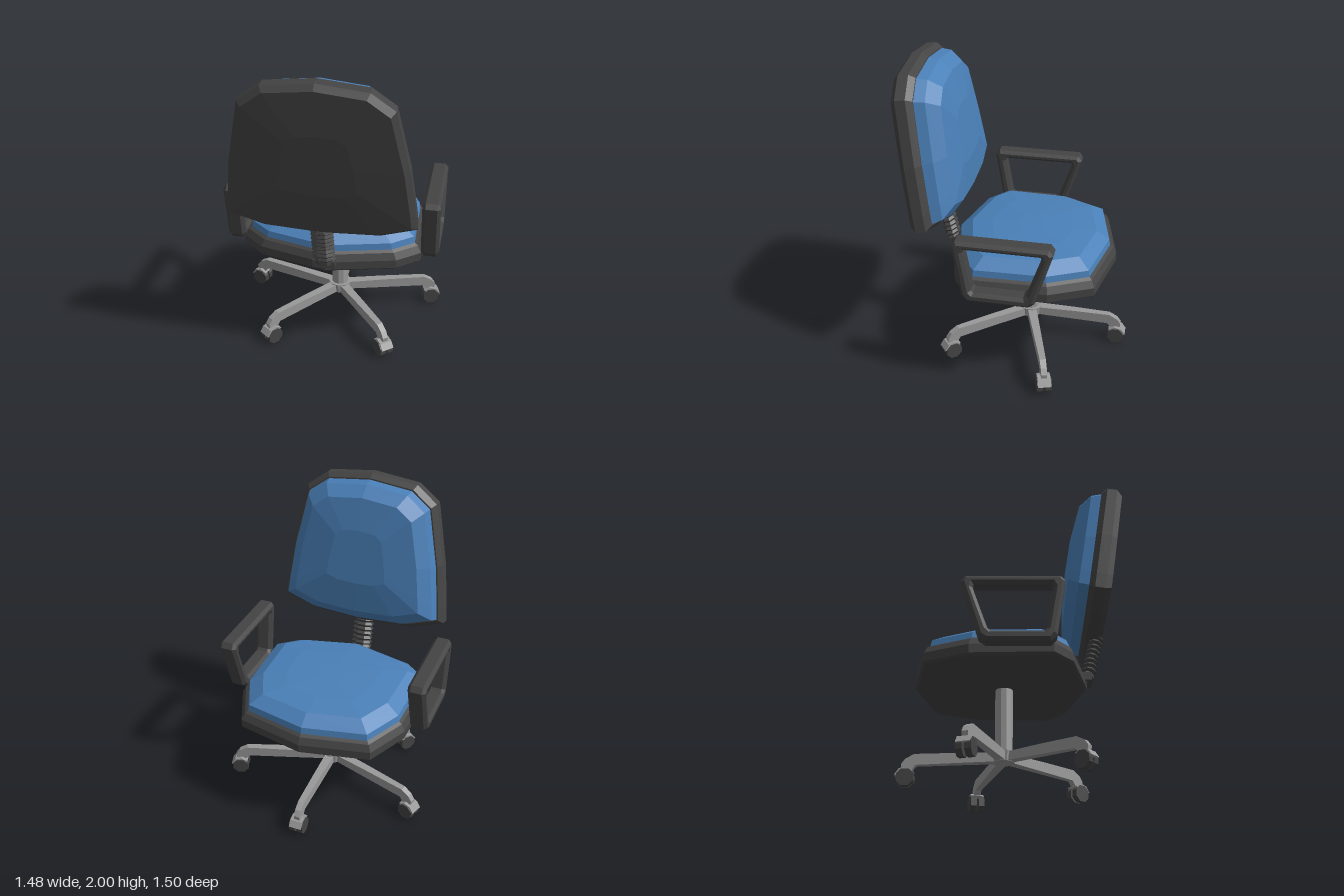
import * as THREE from 'three';

const mat = (color) => new THREE.MeshStandardMaterial({ color, flatShading: true });
const DARK = mat(0x444444), BLUE = mat(0x4a80b8), GREY = mat(0x999999);

function add(parent, name, geometry, material, x = 0, y = 0, z = 0) {
  const mesh = new THREE.Mesh(geometry, material);
  mesh.name = name;
  mesh.position.set(x, y, z);
  parent.add(mesh);
  return mesh;
}

// Closed solid through rings of equal point count, capped at both ends
function loft(rings) {
  const tris = [], n = rings[0].length;
  const mean = (r) => r.reduce((s, p) => s.add(p), new THREE.Vector3()).divideScalar(n);
  const first = rings[0], last = rings[rings.length - 1];
  const a0 = mean(first), b0 = mean(last);
  for (let j = 0; j < n; j++) {
    const k = (j + 1) % n;
    tris.push([a0, first[k], first[j]], [b0, last[j], last[k]]);
    for (let i = 0; i < rings.length - 1; i++) {
      const r = rings[i], s = rings[i + 1];
      tris.push([r[j], r[k], s[k]], [r[j], s[k], s[j]]);
    }
  }
  // a negative volume means the faces point inward
  const cross = new THREE.Vector3();
  const volume = tris.reduce((v, [a, b, c]) => v + a.dot(cross.crossVectors(b, c)), 0);
  if (volume < 0) tris.forEach((t) => t.reverse());
  const g = new THREE.BufferGeometry().setFromPoints(tris.flat());
  g.computeVertexNormals();
  return g;
}

// Half outline, from centre line to centre line, mirrored into a full loop
const mirror = (half) => [...half, ...half.slice(1, -1).reverse().map(([x, y]) => [-x, y])];

const polygon = (pts, Type = THREE.Shape) => new Type(pts.map((p) => new THREE.Vector2(...p)));

function buildSeat(chair) {
  const outline = mirror([[0, -0.57], [0.44, -0.475], [0.57, -0.2], [0.585, 0.3], [0.44, 0.42], [0, 0.53]]);
  const layers = (list) => loft(list.map(([y, s]) => outline.map(([x, z]) => new THREE.Vector3(x * s, y, z * s))));
  add(chair, 'seatShell', layers([[0.63, 0.97], [0.645, 1], [0.7, 1], [0.745, 0.96], [0.76, 0.92]]), DARK);
  add(chair, 'seatCushion', layers([[0.74, 0.93], [0.8, 0.91], [0.855, 0.76], [0.872, 0.5], [0.88, 0.15]]), BLUE);
}

function buildBackrest(chair) {
  const back = new THREE.Group();
  back.name = 'backrest';
  back.position.set(0, 1.06, 0.65);
  back.rotation.x = 0.153;
  chair.add(back);
  const outline = mirror([[0, 0.94], [0.31, 0.905], [0.45, 0.8], [0.535, 0.4], [0.575, 0.1],
    [0.585, -0.005], [0.36, -0.08], [0, -0.1]]);
  const mid = 0.42;
  const layers = (list) => loft(list.map(([w, s]) =>
    outline.map(([x, y]) => new THREE.Vector3(x * s, mid + (y - mid) * s, -w))));
  add(back, 'backrestShell', layers([[-0.015, 0.4], [0, 0.94], [0.035, 1], [0.1, 0.995], [0.135, 0.94]]), DARK);
  add(back, 'backrestCushion', layers([[0.12, 0.93], [0.2, 0.89], [0.27, 0.75], [0.3, 0.35]]), BLUE);
}

// Corrugated sleeve joining seat and backrest
function buildBellows(chair) {
  const curve = new THREE.CatmullRomCurve3([[0.7, 0.46], [0.715, 0.525], [0.85, 0.565], [1.0, 0.605]]
    .map(([y, z]) => new THREE.Vector3(0, y, z)));
  const steps = 22, sides = 8, rings = [];
  for (let i = 0; i <= steps; i++) {
    const p = curve.getPointAt(i / steps), t = curve.getTangentAt(i / steps);
    const r = i % 2 ? 1 : 0.78;
    rings.push(Array.from({ length: sides }, (_, j) => {
      const a = ((j + 0.5) / sides) * Math.PI * 2;
      const d = Math.sin(a) * 0.05 * r;
      return new THREE.Vector3(Math.cos(a) * 0.076 * r, p.y - t.z * d, p.z + t.y * d);
    }));
  }
  add(chair, 'backSupportBellows', loft(rings), DARK);
  add(chair, 'backSupportBracket', new THREE.BoxGeometry(0.14, 0.05, 0.12), DARK, 0, 0.705, 0.5);
}

function buildArmrests(chair) {
  const shape = polygon([[-0.25, 1.055], [-0.225, 1.09], [0.345, 1.09], [0.37, 1.06],
    [0.315, 0.71], [0.28, 0.67], [-0.1, 0.67], [-0.14, 0.7]]);
  shape.holes.push(polygon([[-0.175, 1.035], [-0.18, 1.015], [-0.09, 0.755], [-0.07, 0.735],
    [0.24, 0.735], [0.255, 0.75], [0.3, 1.015], [0.29, 1.035]], THREE.Path));
  const g = new THREE.ExtrudeGeometry(shape, { depth: 0.075, bevelEnabled: true, bevelThickness: 0.02,
    bevelSize: 0.02, bevelOffset: -0.02, bevelSegments: 1 });
  g.translate(0, 0, -0.0375).rotateY(-Math.PI / 2);
  for (const s of [1, -1]) add(chair, s > 0 ? 'leftArmrest' : 'rightArmrest', g, DARK, s * 0.64);
}

// One star leg with its twin-wheel caster, reaching along +x
function buildLeg(length) {
  const leg = new THREE.Group();
  leg.name = 'leg';
  const e = length;
  const profile = polygon([[0.04, 0.155], [0.3, 0.145], [e - 0.06, 0.135], [e - 0.035, 0.1], [e + 0.025, 0.1],
    [e + 0.03, 0.14], [e + 0.005, 0.175], [e - 0.05, 0.205], [0.3, 0.21], [0.04, 0.21]]);
  const g = new THREE.ExtrudeGeometry(profile, { depth: 0.06, bevelEnabled: false });
  g.translate(0, 0, -0.03);
  // narrow towards the tip
  const p = g.attributes.position;
  for (let i = 0; i < p.count; i++) p.setZ(i, p.getZ(i) * (1.05 - (0.4 * p.getX(i)) / e));
  g.computeVertexNormals();
  add(leg, 'legArm', g, GREY);

  const wheel = new THREE.CylinderGeometry(0.057, 0.057, 0.04, 8).rotateX(Math.PI / 2).rotateZ(Math.PI / 8);
  wheel.translate(0, 0.053, 0);
  for (const s of [1, -1]) add(leg, 'casterWheel', wheel, DARK, e, 0, s * 0.027);
  // fender over the wheels
  const arc = (r, a0, a1) => [0, 1, 2, 3].map((i) => {
    const a = a0 + ((a1 - a0) * i) / 3;
    return [r * Math.cos(a), 0.053 + r * Math.sin(a)];
  });
  const fender = new THREE.ExtrudeGeometry(polygon([...arc(0.067, 0.25, 2.4), ...arc(0.045, 2.4, 0.25)]),
    { depth: 0.084, bevelEnabled: false });
  add(leg, 'casterFender', fender, GREY, e, 0, -0.042);
  return leg;
}

function buildBase(chair) {
  add(chair, 'column', new THREE.CylinderGeometry(0.056, 0.056, 0.45, 10), GREY, 0, 0.42, 0);
  add(chair, 'hub', new THREE.CylinderGeometry(0.078, 0.07, 0.065, 10), GREY, 0, 0.184, 0);
  for (const [x, z] of [[0, -0.6], [0.625, -0.195], [0.38, 0.478], [-0.38, 0.478], [-0.625, -0.195]]) {
    const leg = buildLeg(Math.hypot(x, z));
    leg.rotation.y = Math.atan2(-z, x);
    chair.add(leg);
  }
}

export function createModel() {
  const model = new THREE.Group();
  model.name = 'officeChair';
  const chair = new THREE.Group();
  chair.name = 'chair';
  // the chair stands turned slightly, its backrest towards +z
  chair.position.set(0.01, 0, -0.085);
  chair.rotation.y = -0.197;
  model.add(chair);
  buildSeat(chair);
  buildBackrest(chair);
  buildBellows(chair);
  buildArmrests(chair);
  buildBase(chair);
  return model;
}
